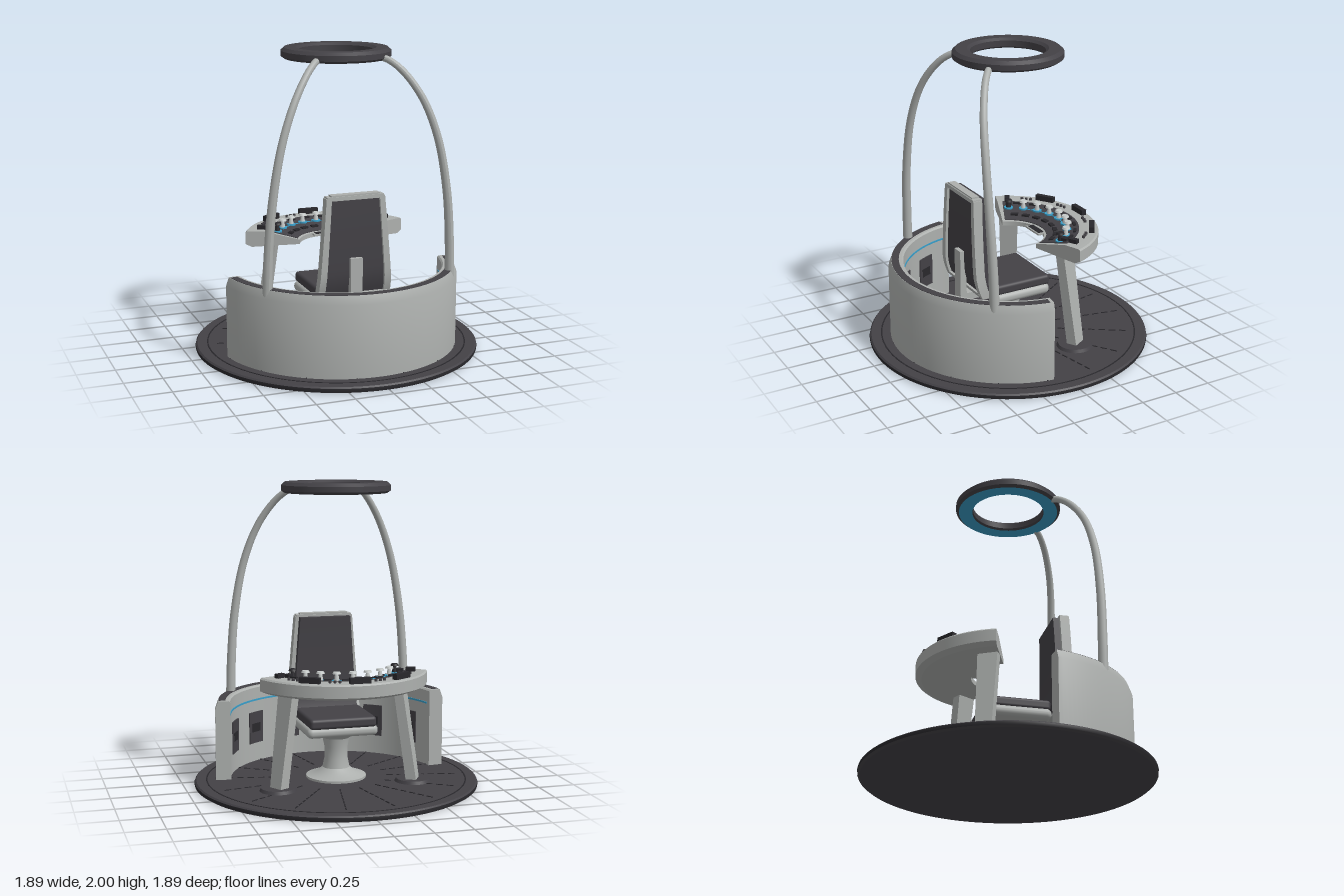
import * as THREE from 'three';
import { mergeGeometries, toCreasedNormals } from 'three/addons/utils/BufferGeometryUtils.js';
import { RoundedBoxGeometry } from 'three/addons/geometries/RoundedBoxGeometry.js';

const mat = (name, color, side = THREE.FrontSide) => {
  const m = new THREE.MeshStandardMaterial({ color, side });
  m.name = name;
  return m;
};

export function createModel() {
  const light = mat('light grey shell', 0xadb0ae);
  const dark = mat('dark grey', 0x434146);
  const black = mat('near black', 0x29282c);
  const white = mat('pale knob', 0xc6cac9);
  const blue = mat('blue glow', 0x3a9ec8);

  const model = new THREE.Group();
  model.name = 'commandStation';

  const add = (name, geo, material, x = 0, y = 0, z = 0, parent = model) => {
    const mesh = new THREE.Mesh(geo, material);
    mesh.name = name;
    mesh.position.set(x, y, z);
    parent.add(mesh);
    return mesh;
  };
  const box = (w, h, d) => new THREE.BoxGeometry(w, h, d);
  const vecs = (pts) => pts.map(([r, y]) => new THREE.Vector2(r, y));

  // Full revolution with crisp edges
  const lathe = (pts, seg = 64) => toCreasedNormals(new THREE.LatheGeometry(vecs(pts), seg), 0.6);

  // Closed profile (outer side listed upward) swept over part of a circle, with end caps
  const arcSolid = (pts, from, to, seg = 48) => {
    const sweep = new THREE.LatheGeometry(vecs([...pts, pts[0]]), seg, from, to - from);
    const caps = [from, to].map((phi, i) => {
      const cap = new THREE.ShapeGeometry(new THREE.Shape(vecs(pts)));
      if (i) cap.setIndex(Array.from(cap.index.array).reverse());
      return cap.rotateY(phi - Math.PI / 2).toNonIndexed();
    });
    return toCreasedNormals(mergeGeometries([sweep.toNonIndexed(), ...caps]), 0.5);
  };
  const band = (r0, r1, y0, y1) => [[r1, y0], [r1, y1], [r0, y1], [r0, y0]];

  // Move every vertex of a geometry by a rule
  const warp = (geo, rule) => {
    const p = geo.attributes.position;
    const v = new THREE.Vector3();
    for (let i = 0; i < p.count; i++) {
      rule(v.fromBufferAttribute(p, i), i);
      p.setXYZ(i, v.x, v.y, v.z);
    }
    geo.computeVertexNormals();
    return geo;
  };

  // Position on a circle, measured from the console's middle (-z); local x is tangential
  const onArc = (name, geo, material, r, a, y) => {
    const mesh = add(name, geo, material, r * Math.sin(a), y, -r * Math.cos(a));
    mesh.rotation.y = -a;
    return mesh;
  };

  // Floor disc with a groove ring and radial dashes
  add('floorDisc', lathe([[0, 0], [0.925, 0], [0.94, 0.012], [0.94, 0.03], [0.93, 0.04], [0, 0.04]], 96), dark);
  add('floorGroove', lathe(band(0.857, 0.866, 0.037, 0.042).concat([[0.866, 0.037]]), 96), black);
  add('floorRim', lathe([[0.941, 0.01], [0.943, 0.02], [0.941, 0.032]], 96), black);
  for (let i = 0; i < 16; i++) {
    for (let j = 0; j < 7; j++) {
      onArc('floorDash', box(0.008, 0.005, 0.045), black, 0.36 + j * 0.07, (i + 0.5) * Math.PI / 8, 0.041);
    }
  }

  // Curved wall with dark top inlay, blue line and inner panels
  const W = 1.43;
  add('wall', arcSolid([[0.8, 0.04], [0.8, 0.515], [0.78, 0.57], [0.71, 0.57], [0.7, 0.56], [0.7, 0.04]], -W, W, 72), light);
  add('wallTopInlay', arcSolid(band(0.73, 0.778, 0.566, 0.573), -W + 0.03, W - 0.03, 72), dark);
  add('wallBlueLine', arcSolid(band(0.696, 0.703, 0.468, 0.48), -W + 0.05, W - 0.05, 72), blue);
  for (const a of [-1.1, -0.66, -0.22, 0.22, 0.66, 1.1]) {
    add('wallPanel', arcSolid(band(0.692, 0.703, 0.17, 0.39), a - 0.1, a + 0.1, 8), dark);
    add('wallPanelSlot', arcSolid(band(0.689, 0.703, 0.25, 0.31), a - 0.06, a + 0.06, 8), black);
  }

  // Overhead ring with glowing underside
  add('overheadRing', lathe([[0.25, 1.935], [0.335, 1.93], [0.357, 1.945], [0.357, 1.98], [0.335, 2],
    [0.26, 2], [0.24, 1.985], [0.24, 1.945], [0.25, 1.935]], 72), dark);
  add('overheadGlow', lathe([[0.245, 1.929], [0.338, 1.929]], 72), blue);

  // Tapered arms holding the ring
  for (const s of [-1, 1]) {
    const path = new THREE.CatmullRomCurve3([[0.622, 0.5, 0.445], [0.615, 0.75, 0.45], [0.587, 1.1, 0.456],
      [0.522, 1.45, 0.446], [0.43, 1.7, 0.41], [0.325, 1.865, 0.345], [0.25, 1.935, 0.285], [0.2, 1.955, 0.235]]
      .map(([x, y, z]) => new THREE.Vector3(s * x, y, z)));
    const n = 48;
    const arm = new THREE.TubeGeometry(path, n, 0.032, 14);
    warp(arm, (v, i) => {
      const t = Math.floor(i / 15) / n;
      const c = path.getPointAt(t);
      v.sub(c).multiplyScalar(1 - 0.33 * t).add(c);
    });
    add('ringArm', arm, light);
  }

  // Crescent console: flat outer rim, sloping dark inner panel
  const C = 1.21;
  add('consoleBody', arcSolid([[0.24, 0.69], [0.56, 0.67], [0.6, 0.69], [0.6, 0.765], [0.59, 0.775],
    [0.475, 0.775], [0.24, 0.72]], Math.PI - C, Math.PI + C), light);
  const slope = (r) => 0.72 + (r - 0.24) * 0.234;
  add('consolePanel', arcSolid([[0.472, 0.77], [0.472, 0.779], [0.255, slope(0.255) + 0.005], [0.255, 0.715]],
    Math.PI - C + 0.07, Math.PI + C - 0.07), dark);
  add('consoleBlueLine', arcSolid(band(0.383, 0.389, 0.75, 0.763), Math.PI - 0.8, Math.PI + 0.8), blue);
  onArc('consoleTab', box(0.17, 0.012, 0.06), light, 0.215, 0, 0.712);
  onArc('consoleTabScreen', box(0.14, 0.006, 0.04), black, 0.215, 0, 0.719);

  // Knobs along the sloping panel
  for (let i = -4; i <= 4; i++) {
    const a = i * 0.262, r = 0.395, end = Math.abs(i) === 4;
    onArc('knobRing', new THREE.CylinderGeometry(0.031, 0.031, 0.01, 20), blue, r, a, 0.762);
    onArc('knobStem', new THREE.CylinderGeometry(0.01, 0.018, 0.05, 12), end ? black : white, r, a, 0.788);
    onArc('knobCap', new THREE.CylinderGeometry(0.022, 0.028, 0.012, 20), end ? black : white, r, a, 0.815);
    if (i < 4) onArc('panelKey', box(0.05, 0.012, 0.02), black, 0.445, a + 0.131, 0.778);
    if (i < 4) onArc('panelKey', box(0.05, 0.012, 0.03), black, 0.315, a + 0.131, 0.745);
  }

  // Displays, buttons and switches on the rim
  for (const a of [-0.57, 0, 0.57]) onArc('rimDisplay', box(0.135, 0.04, 0.035), black, 0.555, a, 0.792);
  for (const a of [-0.81, -0.285, 0.285, 0.81]) {
    for (const d of [-0.06, 0, 0.06]) {
      onArc('rimButton', new THREE.CylinderGeometry(0.01, 0.01, 0.016, 12), dark, 0.525, a + d, 0.782);
    }
  }
  for (const s of [-1, 1]) {
    onArc('rimSwitch', box(0.035, 0.03, 0.06), black, 0.5, s * 1.07, 0.787);
    onArc('rimSwitch', box(0.04, 0.02, 0.04), black, 0.43, s * 1.05, 0.782);

    // Splayed console legs on round feet
    const leg = box(1, 0.63, 1);
    warp(leg, (v) => {
      const top = v.y > 0;
      v.x *= top ? 0.13 : 0.1;
      v.z = v.z * (top ? 0.06 : 0.07) + (top ? 0.09 : 0);
    });
    onArc('consoleLeg', leg, light, 0.52, s * 1.05, 0.365);
    onArc('consoleFoot', new THREE.CylinderGeometry(0.11, 0.12, 0.02, 32), dark, 0.52, s * 1.07, 0.052);
  }

  // Chair pedestal and seat
  add('chairPedestal', lathe([[0, 0.04], [0.2, 0.04], [0.2, 0.055], [0.13, 0.075], [0.09, 0.11], [0.078, 0.17],
    [0.078, 0.25], [0.09, 0.31], [0.13, 0.345], [0.17, 0.355], [0, 0.36]], 40), light);
  add('seatBase', new RoundedBoxGeometry(0.48, 0.07, 0.42, 4, 0.033), light, 0, 0.38, 0.02);
  add('seatCushion', new RoundedBoxGeometry(0.45, 0.07, 0.42, 3, 0.022), dark, 0, 0.44, 0.015);
  add('backBracket', box(0.08, 0.05, 0.26), light, 0, 0.36, 0.25);
  add('backSpine', box(0.08, 0.355, 0.045), light, 0, 0.512, 0.358);

  // Tapered, gently curved backrest: u spans -1..1 across the full width
  const halfWidth = (y) => 0.247 - 0.05 * THREE.MathUtils.clamp((y - 0.5) / 0.6, 0, 1);
  const backZ = (y) => 0.337 - 0.05 * (y - 0.7) ** 2 - (y < 0.6 ? 1.2 * (0.6 - y) ** 2 : 0);
  const backPart = (name, u0, u1, y0, y1, z0, z1, material) => {
    const geo = box(1, 1, 1).toNonIndexed();
    const fine = new THREE.BoxGeometry(1, 1, 1, 1, 14, 1);
    geo.dispose();
    warp(fine, (v) => {
      const y = y0 + (v.y + 0.5) * (y1 - y0);
      v.set((u0 + (v.x + 0.5) * (u1 - u0)) * halfWidth(y), y, backZ(y) + (v.z < 0 ? z0 : z1));
    });
    add(name, toCreasedNormals(fine, 0.5), material);
  };
  backPart('backRail', -1, -0.82, 0.42, 1.085, -0.03, 0.033, light);
  backPart('backRail', 0.82, 1, 0.42, 1.085, -0.03, 0.033, light);
  backPart('backTopRail', -0.97, 0.97, 1.07, 1.095, -0.03, 0.033, light);
  backPart('backTopCap', -0.84, 0.84, 1.09, 1.105, -0.024, 0.027, light);
  backPart('backBottomRail', -0.9, 0.9, 0.42, 0.45, -0.03, 0.033, light);
  backPart('backPanel', -0.83, 0.83, 0.44, 1.075, -0.028, 0.015, dark);
  backPart('backCushion', -0.88, 0.88, 0.46, 1.08, -0.07, -0.02, dark);

  return model;
}
